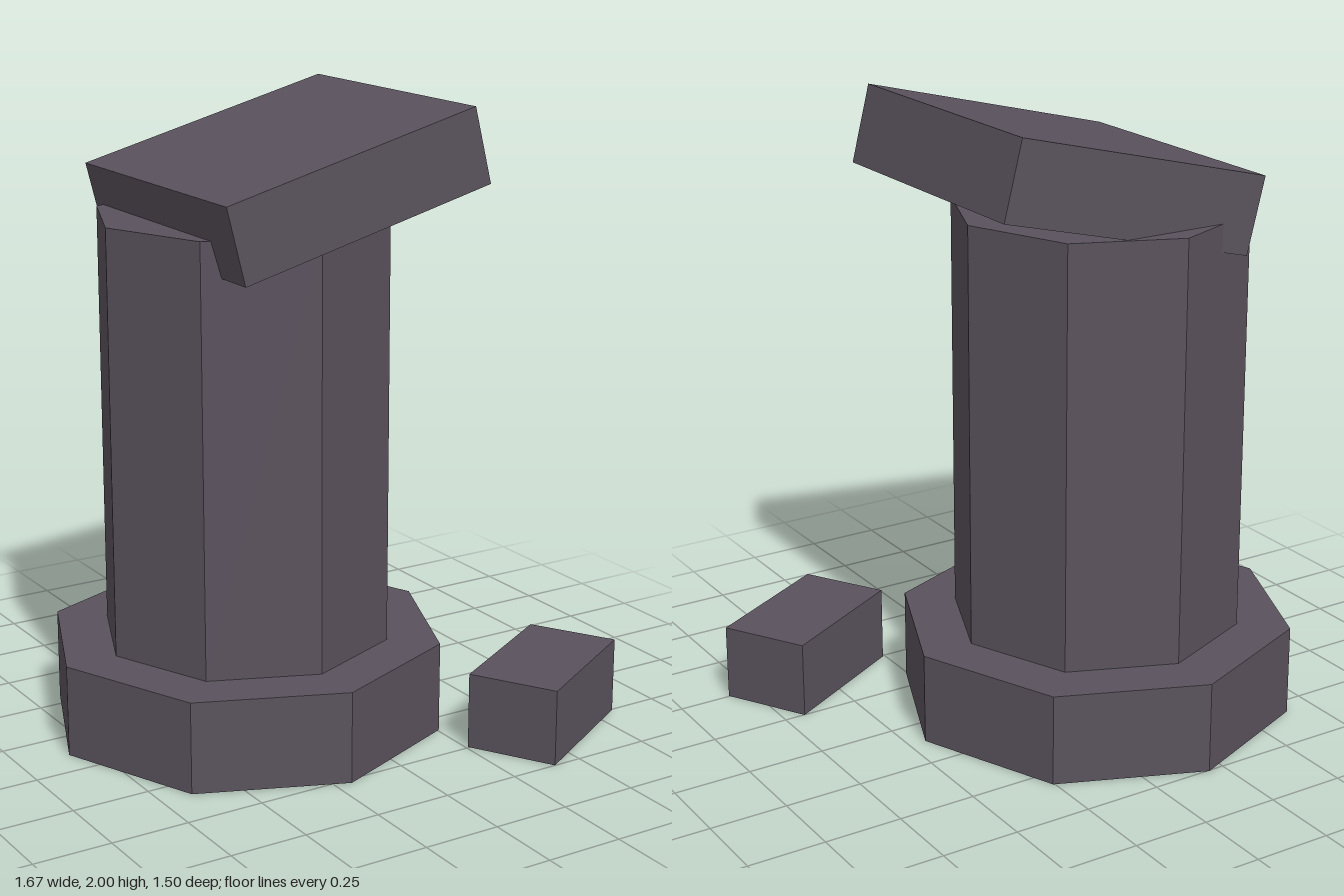
import * as THREE from 'three';

export function createModel() {
  const group = new THREE.Group();
  const stone = new THREE.MeshStandardMaterial({ color: 0x5a525d });
  stone.name = 'dark stone';
  stone.flatShading = true;

  const add = (name, geometry, x, y, z) => {
    const mesh = new THREE.Mesh(geometry, stone);
    mesh.name = name;
    mesh.position.set(x, y, z);
    group.add(mesh);
    return mesh;
  };

  // Upright octagonal drum standing on the given height
  const drum = (name, radius, bottom, top) =>
    add(name, new THREE.CylinderGeometry(radius, radius, top - bottom, 8), -0.196, (top + bottom) / 2, -0.115);

  drum('base', 0.639, 0, 0.295);
  drum('shaft', 0.467, 0.295, 1.655);

  // Square capital, slipped and tilted on top of the shaft
  const capital = add('capital', new THREE.BoxGeometry(0.884, 0.246, 0.884), -0.071, 1.772, -0.065);
  capital.rotation.z = 0.25;

  // Fallen block on the ground beside the base
  const block = add('fallenBlock', new THREE.BoxGeometry(0.491, 0.246, 0.295), 0.544, 0.123, 0.499);
  block.rotation.y = 0.525;

  return group;
}
